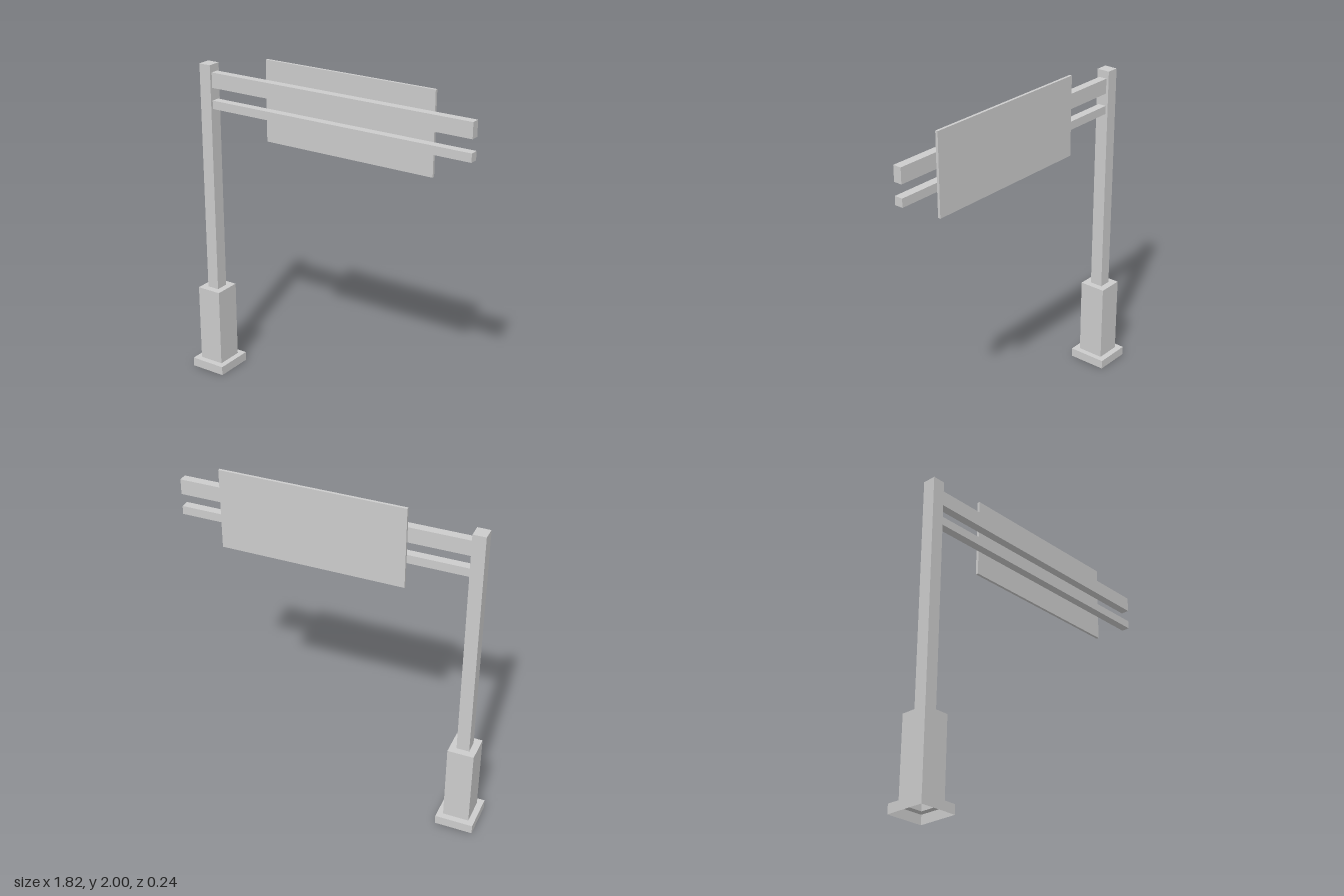
import * as THREE from 'three';

const material = new THREE.MeshStandardMaterial({ color: 0xcccccc, flatShading: true });
const shellMaterial = new THREE.MeshStandardMaterial({ color: 0xcccccc, flatShading: true, side: THREE.DoubleSide });

// Box given by its extents on each axis
function box(name, [x0, x1], [y0, y1], [z0, z1]) {
  const mesh = new THREE.Mesh(new THREE.BoxGeometry(x1 - x0, y1 - y0, z1 - z0), material);
  mesh.name = name;
  mesh.position.set((x0 + x1) / 2, (y0 + y1) / 2, (z0 + z1) / 2);
  return mesh;
}

// Four-sided shell, open below; profile points are [half depth, height]
function squareShell(name, profile) {
  const points = profile.map(([half, y]) => new THREE.Vector2(half * Math.SQRT2, y));
  const lathe = new THREE.LatheGeometry(points, 4, Math.PI / 4);
  lathe.scale(0.9375, 1, 1);
  const geometry = lathe.toNonIndexed();
  geometry.computeVertexNormals();
  const mesh = new THREE.Mesh(geometry, shellMaterial);
  mesh.name = name;
  return mesh;
}

export function createModel() {
  const model = new THREE.Group();
  model.name = 'overheadSign';

  // Stepped mast: hollow footing and pedestal, then the slim pole
  const mast = new THREE.Group();
  mast.name = 'mast';
  mast.position.x = -0.7975;
  mast.add(
    squareShell('footing', [[0.12, 0], [0.12, 0.055], [0.0825, 0.055]]),
    squareShell('pedestal', [[0.0825, 0.055], [0.0825, 0.535], [0.04, 0.535]]),
    squareShell('pole', [[0.04, 0.535], [0.04, 1.93], [0, 1.93]])
  );
  model.add(mast);

  // Two cantilever arms reaching from the pole
  model.add(
    box('upperArm', [-0.76, 0.907], [1.795, 1.885], [-0.025, 0.025]),
    box('lowerArm', [-0.76, 0.907], [1.67, 1.72], [-0.025, 0.025])
  );

  // Thin sign panel fixed behind the arms
  model.add(box('signPanel', [-0.413, 0.66], [1.525, 2], [-0.041, -0.025]));

  return model;
}
